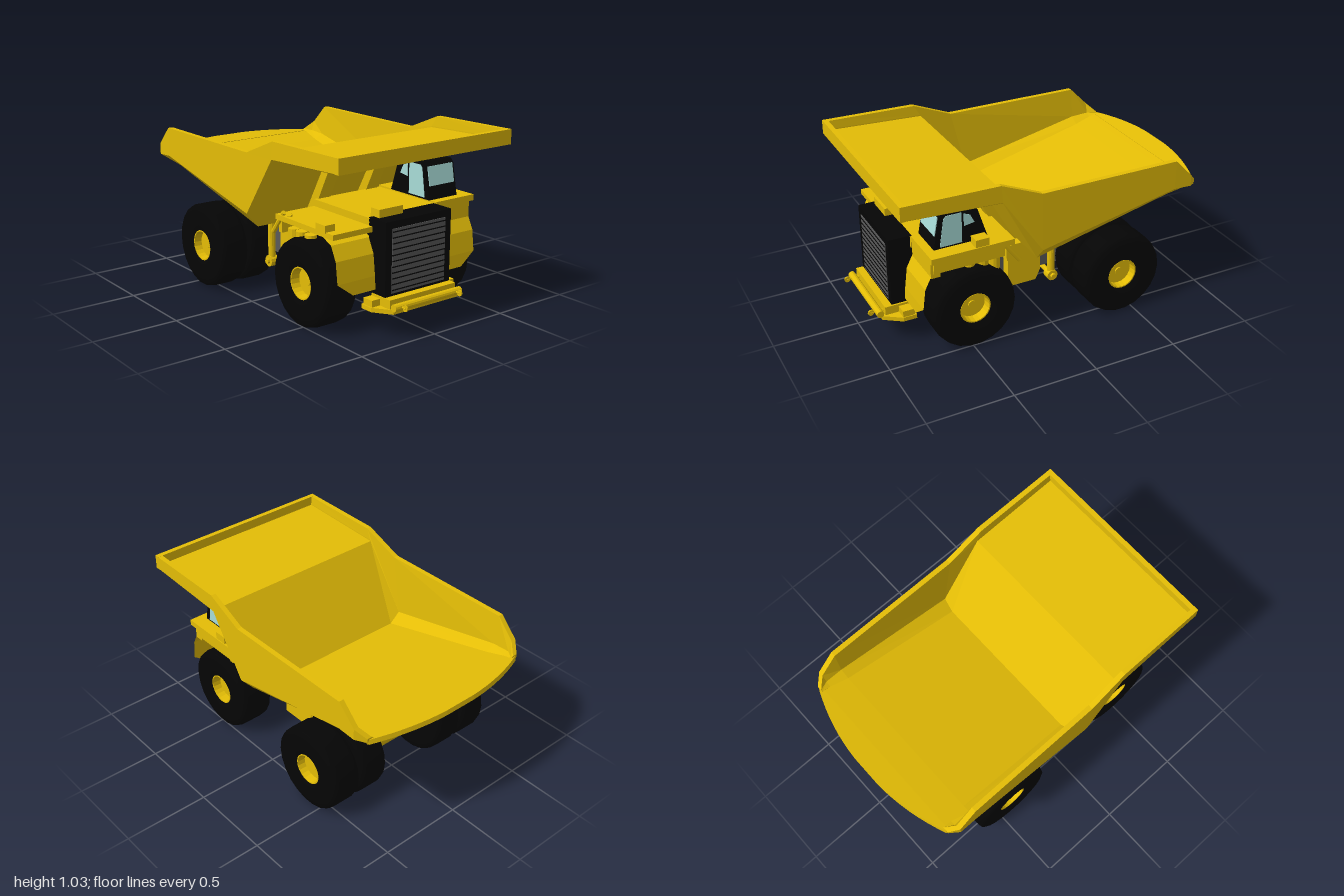
import * as THREE from 'three';

const mat = (color, side = THREE.FrontSide) => new THREE.MeshStandardMaterial({ color, side, flatShading: true });
const yellow = mat(0xe4bd06), black = mat(0x050505), grey = mat(0x5a5a5a), glass = mat(0xa8dcd8);
const shell = mat(0xe4bd06, THREE.DoubleSide);
const rubber = new THREE.MeshStandardMaterial({ color: 0x050505 });

export function createModel() {
  const root = new THREE.Group();
  const add = (name, geo, m, parent = root) => {
    const mesh = new THREE.Mesh(geo, m);
    mesh.name = name;
    parent.add(mesh);
    return mesh;
  };
  // Box given by its limits on each axis
  const box = (name, m, x0, x1, y0, y1, z0, z1) =>
    add(name, new THREE.BoxGeometry(x1 - x0, y1 - y0, z1 - z0)
      .translate((x0 + x1) / 2, (y0 + y1) / 2, (z0 + z1) / 2), m);
  // Side profile of [z, y] points, extruded from x0 to x1
  const slab = (name, m, x0, x1, pts) => {
    const shape = new THREE.Shape(pts.map(p => new THREE.Vector2(...p)));
    const geo = new THREE.ExtrudeGeometry(shape, { depth: x1 - x0, bevelEnabled: false });
    return add(name, geo.rotateY(-Math.PI / 2).translate(x1, 0, 0), m);
  };
  // Round bar between two points
  const rod = (name, m, a, b, r, sides = 12) => {
    const A = new THREE.Vector3(...a), B = new THREE.Vector3(...b), d = B.clone().sub(A);
    const mesh = add(name, new THREE.CylinderGeometry(r, r, d.length(), sides), m);
    mesh.position.copy(A).add(B).multiplyScalar(0.5);
    mesh.quaternion.setFromUnitVectors(new THREE.Vector3(0, 1, 0), d.normalize());
    return mesh;
  };

  // Dump body: U-shaped sections from the canopy tip to the tail
  // f, t, i: outer floor, wall top, inner floor as [z, y]; w, b, bi: half widths; k, ki: chamfer heights
  const stations = [
    { f: [0.93, 0.945], t: [0.93, 1.03], i: [0.93, 0.975], w: 0.6, b: 0.595, bi: 0.565, k: 0.05, ki: 0.1 },
    { f: [0.36, 0.915], t: [0.37, 1.02], i: [0.33, 0.95], w: 0.6, b: 0.595, bi: 0.565, k: 0.05, ki: 0.1 },
    { f: [0.12, 0.487], t: [0.13, 0.92], i: [0.04, 0.525], w: 0.605, b: 0.53, bi: 0.48, k: 0.2, ki: 0.12 },
    { f: [-0.72, 0.68], t: [-0.72, 0.92], i: [-0.72, 0.71], w: 0.605, b: 0.53, bi: 0.5, k: 0.28, ki: 0.15 },
    { f: [-0.83, 0.705], t: [-0.83, 0.808], i: [-0.83, 0.733], w: 0.603, b: 0.54, bi: 0.52, k: 0.35, ki: 0.2 },
    { f: [-0.885, 0.717], t: [-0.885, 0.755], i: [-0.885, 0.744], w: 0.56, b: 0.545, bi: 0.52, k: 0.4, ki: 0.4 }
  ];
  const rings = stations.map(({ f, t, i, w, b, bi, k, ki }) => {
    const at = (p, s) => [p[1] + (t[1] - p[1]) * s, p[0] + (t[0] - p[0]) * s];
    const outer = [[w, ...at(f, 1)], [w, ...at(f, k)], [b, ...at(f, 0)]];
    const inner = [[w - 0.03, ...at(i, 1)], [Math.max(w - 0.05, bi), ...at(i, ki)], [bi, ...at(i, 0)]];
    const full = h => [...h, ...h.slice().reverse().map(([x, y, z]) => [-x, y, z])];
    return [...full(outer), ...full(inner).reverse()];
  });
  const pos = [];
  const quad = (a, b, c, d) => pos.push(...a, ...b, ...c, ...a, ...c, ...d);
  for (let s = 0; s < rings.length - 1; s++)
    for (let j = 0; j < 12; j++) {
      const n = (j + 1) % 12;
      quad(rings[s][j], rings[s][n], rings[s + 1][n], rings[s + 1][j]);
    }
  for (const [r, flip] of [[rings[0], true], [rings.at(-1), false]])
    for (let j = 0; j < 5; j++) {
      const q = [r[j], r[j + 1], r[10 - j], r[11 - j]];
      quad(...(flip ? q.reverse() : q));
    }
  const bedGeo = new THREE.BufferGeometry();
  bedGeo.setAttribute('position', new THREE.Float32BufferAttribute(pos, 3));
  bedGeo.computeVertexNormals();
  add('dumpBody', bedGeo, shell);
  box('canopyRim', yellow, -0.6, 0.6, 0.945, 1.03, 0.9, 0.93);

  // Curved tail lip
  const lip = new THREE.Shape();
  lip.moveTo(-0.555, 0);
  lip.lineTo(0.555, 0);
  lip.lineTo(0.55, 0.015);
  lip.quadraticCurveTo(0.33, 0.11, 0.1, 0.122);
  lip.lineTo(-0.1, 0.122);
  lip.quadraticCurveTo(-0.33, 0.11, -0.55, 0.015);
  const lipGeo = new THREE.ExtrudeGeometry(lip, { depth: 0.029, bevelEnabled: false, curveSegments: 8 });
  add('tailLip', lipGeo.rotateX(-Math.PI / 2 + 0.17).translate(0, 0.715, -0.875), yellow);

  // Wheels: lathed tyre, deeply recessed rim and cap, axis along x
  const tyre = (x0, x1, z) => {
    const g = new THREE.Group(), h = (x1 - x0) / 2;
    g.name = 'wheel';
    const half = [[0.09, 0.85], [0.12, 0.97], [0.18, 1], [0.222, 0.97], [0.243, 0.85], [0.25, 0.6]];
    const profile = [...half.map(([r, s]) => new THREE.Vector2(r, -s * h)),
      ...half.slice().reverse().map(([r, s]) => new THREE.Vector2(r, s * h))];
    add('tyre', new THREE.LatheGeometry(profile, 22), rubber, g);
    const rim = [[0, 0.4], [0.08, 0.4], [0.085, 0.88], [0.092, 0.88], [0.092, -0.88], [0.085, -0.88], [0.08, -0.4], [0, -0.4]];
    add('rim', new THREE.LatheGeometry(rim.map(([r, s]) => new THREE.Vector2(r, s * h)), 20), shell, g);
    add('hubCap', new THREE.CylinderGeometry(0.022, 0.022, h * 0.95, 10), yellow, g);
    g.rotation.z = Math.PI / 2;
    g.position.set((x0 + x1) / 2, 0.25, z);
    root.add(g);
  };

  for (const s of [-1, 1]) {
    const span = (a, b) => s > 0 ? [a, b] : [-b, -a];
    tyre(...span(0.305, 0.52), 0.485);
    tyre(...span(0.2, 0.388), -0.42);
    tyre(...span(0.396, 0.585), -0.42);

    // Stiffening rib below the canopy, front wall and floor
    slab('bodyRib', yellow, ...span(0.13, 0.215), [[0.93, 0.946], [0.39, 0.877], [0.165, 0.44], [0.11, 0.432],
      [-0.73, 0.594], [-0.88, 0.718], [0.1, 0.5], [0.35, 0.92]]);

    // Side tank, frame rail and hoist cylinder
    slab('sideTank', yellow, ...span(0.14, 0.26), [[0.16, 0.155], [0.16, 0.43], [-0.05, 0.43], [-0.05, 0.22], [-0.02, 0.155]]);
    slab('frameRail', grey, ...span(0.1, 0.2), [[0.5, 0.28], [0.5, 0.4], [0.29, 0.41], [-0.25, 0.47],
      [-0.36, 0.4], [-0.36, 0.24], [-0.25, 0.2], [0.15, 0.2]]);
    rod('hoistSleeve', yellow, [s * 0.28, 0.2, -0.11], [s * 0.28, 0.46, -0.11], 0.022);
    const joint = add('hoistJoint', new THREE.CylinderGeometry(0.034, 0.034, 0.05, 12).rotateZ(Math.PI / 2), yellow);
    joint.position.set(s * 0.28, 0.18, -0.11);

    // Curved front mudguard with its lower outer corner cut off
    const line = [[0.79, 0.245], [0.785, 0.32], [0.77, 0.44], [0.73, 0.52], [0.64, 0.56], [0.3, 0.56]];
    const grd = [];
    for (let j = 0; j < line.length - 1; j++) {
      const p = (k, x) => [s * x, line[k][1], line[k][0]];
      const w = j ? 0.49 : 0.39;
      const a = p(j, 0.23), b = p(j, w), c = p(j + 1, 0.49), d = p(j + 1, 0.23);
      const o = s > 0 ? [a, b, c, d] : [d, c, b, a];
      for (const m of [0, 1, 2, 0, 2, 3]) grd.push(...o[m]);
    }
    const guard = new THREE.BufferGeometry();
    guard.setAttribute('position', new THREE.Float32BufferAttribute(grd, 3));
    guard.computeVertexNormals();
    add('mudguard', guard, shell);

    // Air tanks, deck braces, front suspension and tow prongs
    for (const z of [0.49, 0.41, 0.34])
      rod('airTank', yellow, [s * 0.44, 0.44, z], [s * 0.44, 0.515, z], 0.034);
    rod('deckBrace', yellow, [s * 0.48, 0.6, 0.35], [s * 0.3, 0.43, 0.18], 0.014, 8);
    rod('deckBrace', yellow, [s * 0.48, 0.6, 0.3], [s * 0.48, 0.47, 0.2], 0.014, 8);
    rod('frontStrut', yellow, [s * 0.24, 0.2, 0.485], [s * 0.24, 0.54, 0.485], 0.045);
    rod('towProng', yellow, [s * 0.195, 0.185, 0.9], [s * 0.195, 0.185, 0.985], 0.006, 8);
    rod('towEye', yellow, [s * 0.195 - 0.004, 0.185, 0.982], [s * 0.195 + 0.004, 0.185, 0.982], 0.018, 10);
  }

  // Axles and centre of the chassis
  rod('rearAxle', yellow, [-0.45, 0.25, -0.42], [0.45, 0.25, -0.42], 0.095, 18);
  rod('frontAxle', yellow, [-0.4, 0.25, 0.485], [0.4, 0.25, 0.485], 0.045);
  rod('steeringRod', yellow, [-0.4, 0.2, 0.36], [0.4, 0.2, 0.36], 0.016, 8);
  rod('hoistCrossTube', yellow, [-0.32, 0.18, -0.11], [0.32, 0.18, -0.11], 0.016, 8);
  box('chassisPlate', grey, -0.13, 0.13, 0.21, 0.38, -0.25, 0.3);
  box('engine', black, -0.2, 0.2, 0.26, 0.56, 0.3, 0.75);

  // Radiator with slatted grille
  box('radiator', black, -0.238, 0.222, 0.22, 0.63, 0.73, 0.868);
  box('grille', grey, -0.195, 0.18, 0.235, 0.59, 0.86, 0.872);
  for (let n = 0; n < 11; n++) {
    const y = 0.25 + n * 0.032;
    box('grilleGap', black, -0.195, 0.18, y, y + 0.006, 0.87, 0.875);
  }

  // Hood, decks and equipment boxes
  box('hood', yellow, -0.238, 0.235, 0.56, 0.625, 0.25, 0.74);
  box('rightDeck', yellow, -0.5, -0.23, 0.555, 0.585, 0.25, 0.76);
  box('leftDeck', yellow, 0.235, 0.52, 0.6, 0.635, 0.25, 0.74);
  box('leftDeckFront', yellow, 0.235, 0.49, 0.5, 0.61, 0.68, 0.735);
  box('leftDeckSide', yellow, 0.47, 0.5, 0.53, 0.61, 0.3, 0.72);
  box('hoodBox', yellow, -0.21, -0.045, 0.62, 0.675, 0.71, 0.78);
  box('deckBox', yellow, -0.505, -0.44, 0.58, 0.622, 0.62, 0.7);
  box('deckBox', yellow, 0.45, 0.515, 0.63, 0.68, 0.4, 0.48);
  box('deckSupport', yellow, -0.48, 0.48, 0.48, 0.57, 0.25, 0.28);

  // Cab with sloped front and inset glass
  slab('cab', black, 0.225, 0.435, [[0.69, 0.635], [0.655, 0.82], [0.635, 0.84], [0.45, 0.84], [0.43, 0.82], [0.37, 0.635]]);
  const pane = add('windscreen', new THREE.BoxGeometry(0.185, 0.11, 0.006), glass);
  pane.position.set(0.33, 0.765, 0.667);
  pane.rotation.x = -0.187;
  for (const [x0, x1] of [[0.433, 0.438], [0.222, 0.227]]) {
    slab('doorGlass', glass, x0, x1, [[0.655, 0.645], [0.63, 0.81], [0.615, 0.825], [0.525, 0.825], [0.525, 0.645]]);
    slab('rearSideGlass', glass, x0, x1, [[0.512, 0.74], [0.512, 0.815], [0.475, 0.8], [0.45, 0.75]]);
  }

  // Front bumper: wide plate, step and cross tube
  const plate = new THREE.Shape([[-0.3, 0.75], [0.3, 0.75], [0.3, 0.83], [0.23, 0.93], [-0.23, 0.93], [-0.3, 0.83]]
    .map(([x, z]) => new THREE.Vector2(x, -z)));
  add('bumperPlate', new THREE.ExtrudeGeometry(plate, { depth: 0.025, bevelEnabled: false })
    .rotateX(-Math.PI / 2).translate(0, 0.143, 0), yellow);
  box('bumperBeam', yellow, -0.295, 0.295, 0.165, 0.205, 0.76, 0.83);
  box('bumperStep', yellow, -0.24, 0.23, 0.165, 0.218, 0.76, 0.91);
  rod('bumperTube', yellow, [-0.24, 0.183, 0.94], [0.235, 0.183, 0.94], 0.021, 12);
  return root;
}
